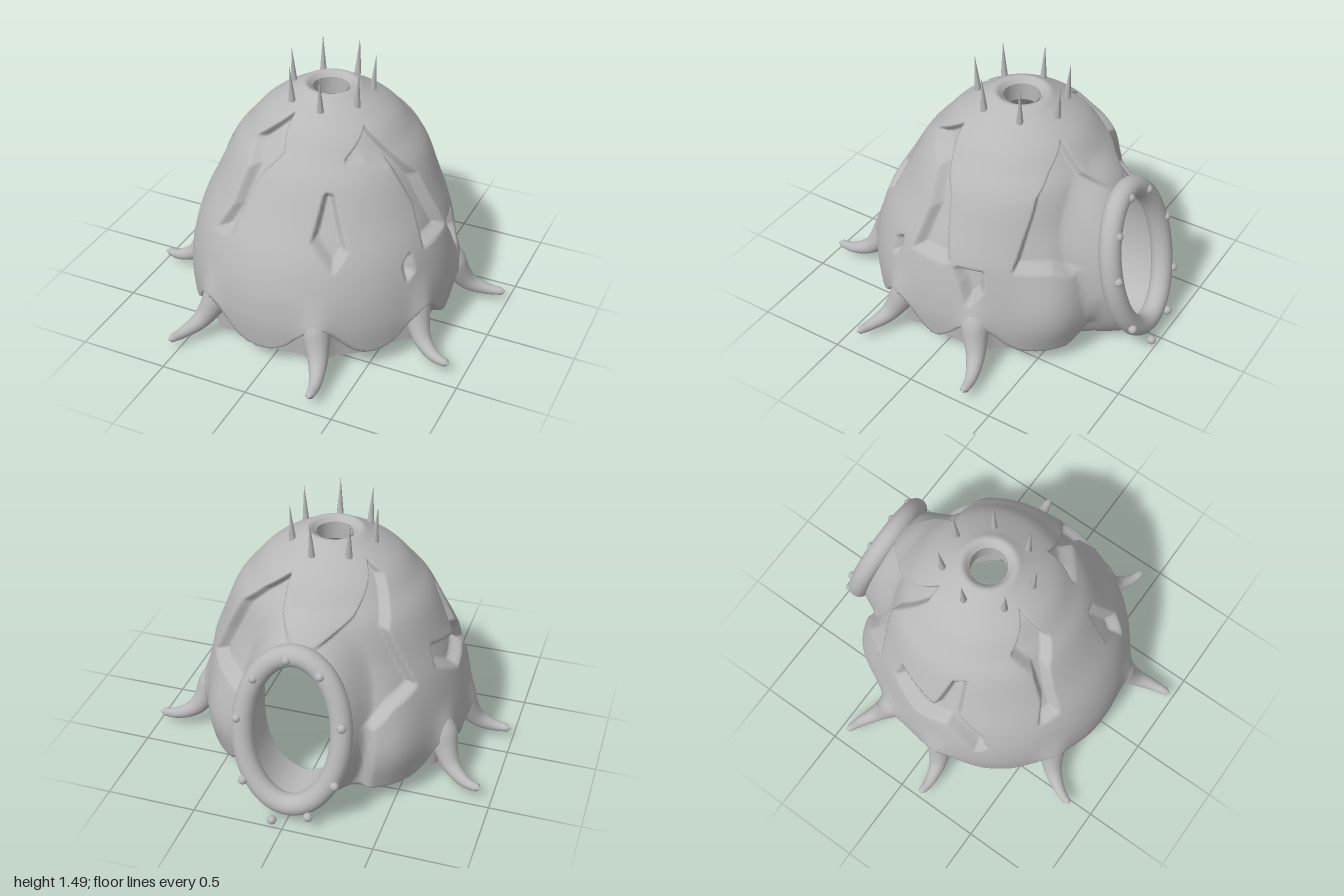
import * as THREE from 'three';

const RAD = Math.PI / 180;
const { smoothstep, lerp, clamp } = THREE.MathUtils;
const bark = new THREE.MeshStandardMaterial({ color: 0xb8b8b8, side: THREE.DoubleSide });
bark.name = 'grey bark';

// dome profile: radius, height
const PROFILE = [[0.74, 0.05], [0.755, 0.3], [0.7, 0.6], [0.62, 0.8], [0.53, 1.0], [0.45, 1.1],
  [0.36, 1.2], [0.2, 1.305], [0.14, 1.335], [0.1, 1.3]];
const domeCurve = new THREE.CatmullRomCurve3(PROFILE.map(([r, y]) => new THREE.Vector3(r, y, 0)));
const centreZ = (y) => -0.08 * smoothstep(y, 0.4, 1.1);
const thickness = (y) => 0.15 - 0.05 * Math.min(1, y);

// sunken patches between the bark plates, as angle in degrees (0 = front, 90 = left) and height
const PATCHES = [
  [[-38, 1.11], [-19, 1.25], [-10, 1.1], [-20, 0.98], [-23, 0.85], [-25, 0.68], [-34, 0.66], [-29, 0.8], [-28, 1.0]],
  [[22, 0.96], [26, 0.95], [33, 0.7], [28, 0.62], [18, 0.75]],
  [[35, 1.1], [56, 1.21], [80, 0.95], [92, 0.63], [74, 0.62], [73, 0.85], [64, 1.05], [48, 1.09]],
  [[97, 0.61], [109, 0.61], [110, 0.5], [105, 0.42], [101, 0.53]],
  [[61, 0.58], [64, 0.61], [65, 0.52], [62, 0.5]],
  [[-75, 0.95], [-68, 0.97], [-73, 0.72], [-63, 0.6], [-61, 0.5], [-65, 0.45], [-78, 0.65], [-95, 0.6],
    [-110, 0.7], [-108, 0.8], [-85, 0.72]],
  [[-190, 0.93], [-180, 0.9], [-150, 1.06], [-125, 1.25], [-119, 1.2], [-133, 0.98], [-126, 0.66], [-140, 0.6],
    [-150, 0.5], [-152, -0.1], [-190, -0.1]],
  [[190, 0.93], [180, 0.9], [163, 1.05], [157, 1.2], [141, 1.1], [131, 1.0], [126, 0.8], [123, 0.64], [140, 0.63],
    [150, 0.58], [156, 0.4], [156, 0.2], [146, 0.08], [146, -0.1], [190, -0.1]],
];

// roots: base x, z and tip x, z
const ROOTS = [[-0.65, -0.26, -0.94, -0.45], [-0.67, 0.07, -0.99, 0.13], [-0.34, 0.58, -0.54, 0.87],
  [0.25, 0.63, 0.36, 0.98], [0.63, 0.24, 0.92, 0.42], [0.66, -0.21, 0.99, -0.33]];
const rootAngles = ROOTS.map(([x, z]) => Math.atan2(x, z) / RAD);

// signed distance to a patch, positive inside
function patchDepth(poly, deg, y) {
  const k = 0.0113;
  let best = 9, inside = false;
  poly.forEach(([a0, y0], i) => {
    const [a1, y1] = poly[(i + 1) % poly.length];
    const ex = (a1 - a0) * k, ey = y1 - y0, px = (deg - a0) * k, py = y - y0;
    const t = clamp((px * ex + py * ey) / (ex * ex + ey * ey), 0, 1);
    best = Math.min(best, Math.hypot(px - ex * t, py - ey * t));
    if ((y0 > y) !== (y1 > y) && deg < a0 + (a1 - a0) * (y - y0) / (y1 - y0)) inside = !inside;
  });
  return inside ? best : -best;
}

// bark height: patches and scalloped skirt go in, root ribs and rear lobes come out
function relief(deg, y) {
  let d = -1;
  for (const poly of PATCHES) {
    for (const turn of [-360, 0, 360]) d = Math.max(d, patchDepth(poly, deg + turn, y));
  }
  const gap = Math.min(...rootAngles.map((a) => Math.abs(((deg - a + 540) % 360) - 180)));
  const skirt = smoothstep(0.09 + 0.2 * Math.exp(-((gap / 12) ** 2)) - y, -0.015, 0.02);
  const rib = 0.045 * Math.exp(-((gap / 6) ** 2)) * (1 - smoothstep(y, 0.2, 0.5));
  const lobe = 0.06 * Math.exp(-(((Math.abs(deg) - 141) / 14) ** 2) - ((y - 0.38) / 0.25) ** 2);
  return rib + lobe - Math.max(0.06 * smoothstep(d, -0.015, 0.018), 0.08 * skirt);
}

// doorway ellipse: below 1 is open; the ring leans in a plane
const DOOR = { y: 0.5, rx: 0.25, ry: 0.4 };
const doorValue = (p) => (p.z > 0 ? 9 : Math.hypot(p.x / DOOR.rx, (p.y - DOOR.y) / DOOR.ry));
const isDoor = (p) => doorValue(p) < 0.99;
const ringZ = (y) => -0.815 - 0.232 * (0.515 - y);

function snapToDoor(p) {
  const e = doorValue(p);
  if (Math.abs(e - 1) < 0.05) {
    p.x /= e;
    p.y = DOOR.y + (p.y - DOOR.y) / e;
  }
  return p;
}

// surface from closed cross-section loops, with an optional opening
function loft(n, m, point, isOpen = () => false) {
  const pts = [], index = [];
  for (let j = 0; j <= m; j++) for (let i = 0; i < n; i++) pts.push(point(i / n, j / m));
  const tri = (a, b, c) => {
    const mid = new THREE.Vector3().add(pts[a]).add(pts[b]).add(pts[c]).divideScalar(3);
    if (!isOpen(mid)) index.push(a, b, c);
  };
  for (let j = 0; j < m; j++) {
    for (let i = 0; i < n; i++) {
      const a = j * n + i, b = j * n + (i + 1) % n;
      tri(a, b, b + n);
      tri(a, b + n, a + n);
    }
  }
  const g = new THREE.BufferGeometry().setFromPoints(pts);
  g.setIndex(index);
  g.computeVertexNormals();
  return g;
}

const around = (u, r, y) =>
  new THREE.Vector3(Math.sin(u * 2 * Math.PI) * r, y, centreZ(y) + Math.cos(u * 2 * Math.PI) * r);

// outer bark, flaring out to meet the door ring
function outerPoint(u, v) {
  const { x: r, y } = domeCurve.getPointAt(v);
  const p = around(u, r + relief(((u * 360 + 180) % 360) - 180, y), y);
  const flare = 1 - smoothstep(doorValue(p), 1, 1.5);
  p.z = lerp(p.z, Math.min(p.z, ringZ(y) + 0.03), flare);
  return snapToDoor(p);
}

// smooth inner wall
function innerPoint(u, v) {
  const { x: r, y } = domeCurve.getPointAt(v * 0.94);
  return snapToDoor(around(u, Math.max(0.1, r - thickness(y)), Math.max(0.05, y * 0.94)));
}

export function createModel() {
  const model = new THREE.Group();
  const add = (name, geometry, parent = model) => {
    const mesh = new THREE.Mesh(geometry, bark);
    mesh.name = name;
    parent.add(mesh);
    return mesh;
  };

  // hollow dome with smoke hole and flat bottom rim
  add('outerShell', loft(320, 120, outerPoint, isDoor));
  add('innerWall', loft(160, 60, (u, v) => innerPoint(u, 1 - v), isDoor));
  add('smokeHole', loft(48, 2, (u, v) => around(u, 0.1, 1.31 - 0.1 * v)));
  add('bottomRim', loft(160, 1, (u, v) => innerPoint(u, 0).lerp(outerPoint(u, 0), v)));

  // roots gripping the ground
  const roots = new THREE.Group();
  roots.name = 'roots';
  model.add(roots);
  ROOTS.forEach(([bx, bz, tx, tz], k) => {
    const dir = new THREE.Vector3(tx - bx, 0, tz - bz);
    const side = new THREE.Vector3(dir.z, 0, -dir.x).normalize();
    const bend = k % 2 ? 0.02 : -0.02;
    const path = new THREE.CatmullRomCurve3([[-0.02, 0.4, 0], [0.14, 0.25, 0], [0.4, 0.12, bend],
      [0.72, 0.075, bend], [1, 0.075, 0]].map(([t, y, s]) =>
      new THREE.Vector3(bx + dir.x * t, y, bz + dir.z * t).addScaledVector(side, s)));
    add('root', loft(16, 24, (u, v) => {
      const t = path.getTangentAt(v), n = new THREE.Vector3().crossVectors(t, side);
      const r = v === 1 ? 0.001 : 0.022 + 0.09 * (1 - v) ** 1.3 * smoothstep(v, -0.12, 0.3);
      const p = path.getPointAt(v).addScaledVector(side, r * Math.cos(u * 2 * Math.PI))
        .addScaledVector(n, r * Math.sin(u * 2 * Math.PI));
      p.y = Math.max(0.05, p.y);
      return p;
    }), roots);
  });

  // leaning door ring with its reveal and studs
  const ringPoint = (a, s = 1) => new THREE.Vector3(0.27 * s * Math.sin(a),
    0.515 + 0.41 * s * Math.cos(a), -0.815 + 0.095 * s * Math.cos(a));
  const ringPath = new THREE.CatmullRomCurve3(
    Array.from({ length: 32 }, (_, i) => ringPoint(i / 32 * 2 * Math.PI)), true);
  add('doorRing', new THREE.TubeGeometry(ringPath, 96, 0.06, 16, true));
  const wallRadius = (y) => {
    const i = Math.max(1, PROFILE.findIndex((p) => p[1] >= y));
    const [r0, y0] = PROFILE[i - 1], [r1, y1] = PROFILE[i];
    return lerp(r0, r1, (y - y0) / (y1 - y0)) - thickness(y);
  };
  add('doorReveal', loft(80, 3, (u, v) => {
    const a = u * 2 * Math.PI, x = DOOR.rx * Math.sin(a), y = DOOR.y + DOOR.ry * Math.cos(a);
    const inner = centreZ(y) - Math.sqrt(wallRadius(y) ** 2 - x * x);
    return new THREE.Vector3(x, y, lerp(ringZ(y), inner, v));
  }));
  for (const deg of [8, -33, 50, -78, 85, 130, 168, -155, -120]) {
    const c = Math.cos(deg * RAD);
    const stud = add('stud', new THREE.IcosahedronGeometry(0.026, 1));
    stud.position.copy(ringPoint(deg * RAD, 1.08 - 0.1 * c)).add(new THREE.Vector3(0, 0.01, -0.048));
    if (deg === 168) stud.position.y = 0.027;
  }

  // crown of thorns round the smoke hole
  for (let i = 0; i < 7; i++) {
    const a = (13 + i * 360 / 7) * RAD;
    const spike = add('spike', new THREE.ConeGeometry(0.02, 0.21, 8));
    spike.position.set(0.228 * Math.sin(a), 1.385, -0.08 + 0.26 * Math.cos(a));
    spike.rotation.set(0.08 * Math.cos(a), 0, -0.06 * Math.sin(a));
  }
  return model;
}
